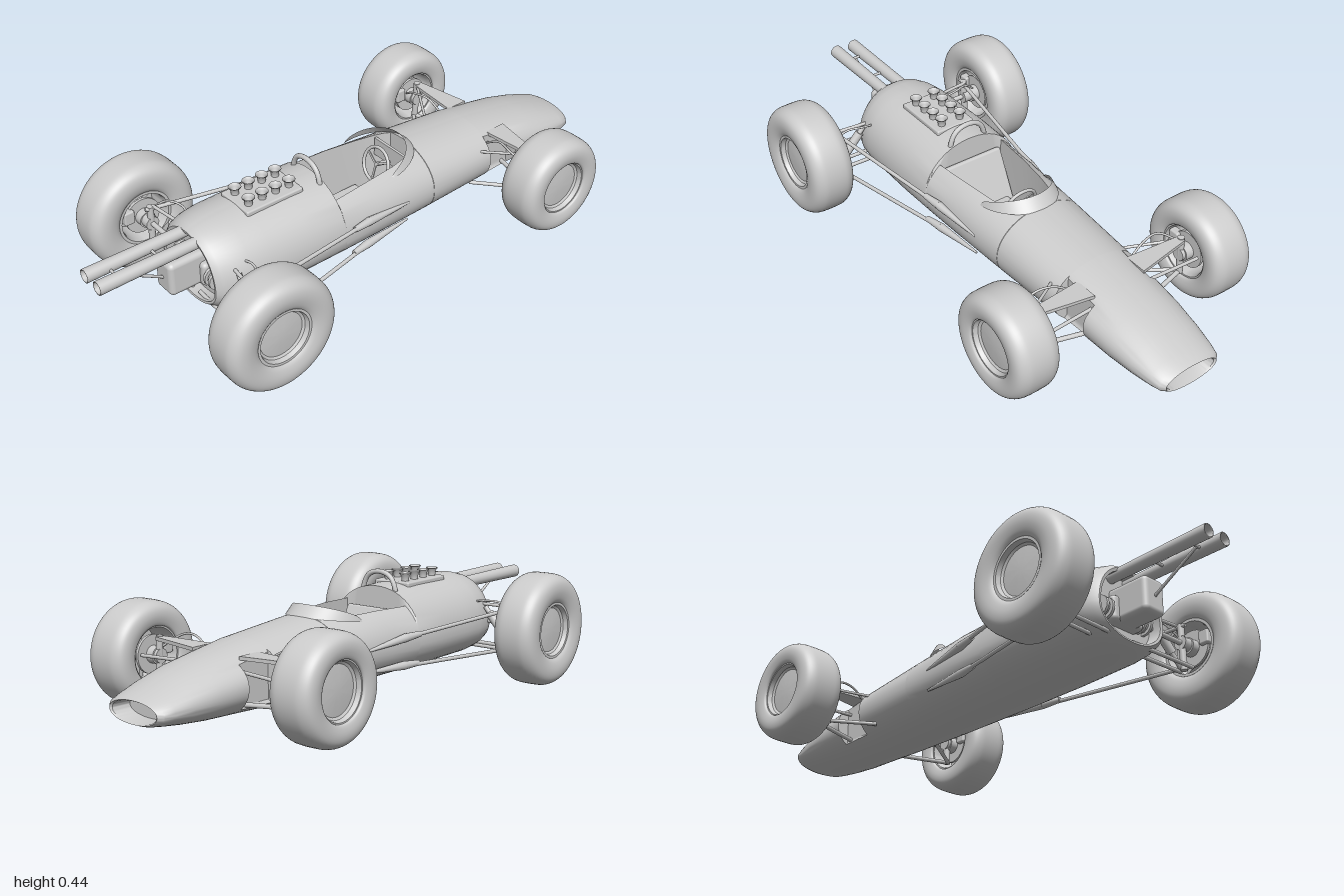
import * as THREE from 'three';
import { toCreasedNormals } from 'three/addons/utils/BufferGeometryUtils.js';
import { RoundedBoxGeometry } from 'three/addons/geometries/RoundedBoxGeometry.js';

const grey = new THREE.MeshStandardMaterial({ color: 0xcccccc });
const thin = new THREE.MeshStandardMaterial({ color: 0xcccccc, side: THREE.DoubleSide });
const V = (x, y, z) => new THREE.Vector3(x, y, z);

// Body lines along the car: [z, half width, bottom, top], joined linearly
const bodyLines = [
  [-1, 0.102, 0.124, 0.196], [-0.985, 0.118, 0.118, 0.204], [-0.95, 0.128, 0.112, 0.217],
  [-0.88, 0.14, 0.102, 0.242], [-0.78, 0.151, 0.092, 0.27], [-0.54, 0.165, 0.08, 0.31],
  [-0.25, 0.18, 0.076, 0.336], [0, 0.19, 0.075, 0.358], [0.15, 0.194, 0.075, 0.362],
  [0.155, 0.194, 0.075, 0.38], [0.3, 0.196, 0.075, 0.385], [0.53, 0.191, 0.077, 0.383],
  [0.59, 0.182, 0.082, 0.378], [0.63, 0.167, 0.09, 0.368], [0.65, 0.148, 0.1, 0.355],
];
const bodyAt = z => {
  const i = Math.max(1, bodyLines.findIndex(l => l[0] >= z));
  const a = bodyLines[i - 1], b = bodyLines[i];
  const k = (z - a[0]) / (b[0] - a[0]);
  return [1, 2, 3].map(n => a[n] + (b[n] - a[n]) * k);
};

// Shell skinned over superellipse rings; the rings dip into the cockpit and narrow at the arm pockets
function bodyGeometry() {
  const M = 44, K = 16, N = M + 1 + K, e = 2 / 2.1;
  const pos = [], idx = [];
  const ring = (z, from = z, scale = 1) => {
    const [w, bot, top] = bodyAt(from);
    const mid = Math.min(0.2, 0.16 + (from + 1) * 0.1);
    const cockpit = z >= -0.25 && z <= 0.15;
    const pocket = z >= -0.67 && z <= -0.54;
    const h = cockpit ? 0.13 * ((z + 0.26) / 0.41) ** 0.22 : w * 0.55;
    const rim = Math.acos((h / w) ** (1 / e));
    const at = t => {
      const c = Math.cos(t), s = Math.sin(t);
      return [scale * Math.sign(c) * w * Math.abs(c) ** e,
        mid + scale * Math.sign(s) * (s > 0 ? top - mid : mid - bot) * Math.abs(s) ** e];
    };
    for (let j = 0; j <= M; j++) {
      let [x, y] = at(rim - (Math.PI + 2 * rim) * j / M);
      if (pocket && y > 0.12) x = THREE.MathUtils.clamp(x, -0.113, 0.113);
      pos.push(x, y, z);
    }
    for (let j = 1; j <= K; j++) {
      const u = j / (K + 1);
      if (cockpit) pos.push((u * 2 - 1) * h * 1.08, 0.12, z);
      else pos.push(...at(Math.PI - rim - (Math.PI - 2 * rim) * u), z);
    }
  };
  // Recessed nose intake, outer skin, recessed tail
  ring(-0.93, -1, 0.01);
  ring(-0.93, -1, 0.88);
  ring(-0.995, -1, 0.93);
  for (const z of [-1, -0.985, -0.95, -0.88, -0.78, -0.672, -0.67, -0.54, -0.538, -0.4, -0.252, -0.25,
    -0.235, -0.2, -0.12, 0, 0.15, 0.155, 0.3, 0.45, 0.53, 0.59, 0.63, 0.65]) ring(z);
  ring(0.648, 0.65, 0.93);
  ring(0.6, 0.65, 0.93);
  ring(0.6, 0.65, 0.01);
  for (let i = 0; i < pos.length / 3 / N - 1; i++) for (let j = 0; j < N; j++) {
    const a = i * N + j, b = i * N + (j + 1) % N;
    idx.push(a, a + N, b, b, a + N, b + N);
  }
  const geo = new THREE.BufferGeometry();
  geo.setAttribute('position', new THREE.Float32BufferAttribute(pos, 3));
  geo.setIndex(idx);
  return toCreasedNormals(geo, 0.6);
}

// Raked ribbon around the front of the cockpit
function screenGeometry() {
  const pos = [], idx = [], S = 32;
  for (let i = 0; i <= S; i++) {
    const a = (i / S - 0.5) * Math.PI, c = Math.max(0, Math.cos(a)), s = Math.sin(a);
    pos.push(0.138 * s, 0.306 + 0.026 * c, -0.1 - 0.17 * c);
    pos.push(0.13 * s, 0.312 + 0.058 * c ** 0.7, -0.095 - 0.135 * c);
    if (i < S) idx.push(2 * i, 2 * i + 1, 2 * i + 2, 2 * i + 2, 2 * i + 1, 2 * i + 3);
  }
  const geo = new THREE.BufferGeometry();
  geo.setAttribute('position', new THREE.Float32BufferAttribute(pos, 3));
  geo.setIndex(idx);
  geo.computeVertexNormals();
  return geo;
}

export function createModel() {
  const car = new THREE.Group();
  car.name = 'racingCar';

  const add = (name, geo, x = 0, y = 0, z = 0, parent = car, mat = grey) => {
    const m = new THREE.Mesh(geo, mat);
    m.name = name;
    m.position.set(x, y, z);
    parent.add(m);
    return m;
  };
  const rod = (name, a, b, r, r2 = r) => {
    const d = b.clone().sub(a);
    const m = add(name, new THREE.CylinderGeometry(r2, r, d.length(), 14));
    m.position.copy(a).addScaledVector(d, 0.5);
    m.quaternion.setFromUnitVectors(V(0, 1, 0), d.normalize());
  };
  const tube = (name, pts, r) =>
    add(name, new THREE.TubeGeometry(new THREE.CatmullRomCurve3(pts), 40, r, 10));
  const lathe = (pts, n) => new THREE.LatheGeometry(pts.map(p => new THREE.Vector2(...p)), n);

  add('bodyShell', bodyGeometry(), 0, 0, 0, car, thin);
  add('windscreen', screenGeometry(), 0, 0, 0, car, thin);

  // Cockpit
  const back = add('seatBack', new RoundedBoxGeometry(0.23, 0.2, 0.025, 3, 0.01), 0, 0.215, 0.1);
  back.rotation.x = 0.45;
  add('seatBase', new RoundedBoxGeometry(0.19, 0.03, 0.2, 3, 0.01), 0, 0.135, -0.02);
  add('dashboard', new THREE.BoxGeometry(0.16, 0.07, 0.01), 0, 0.285, -0.2);
  const steering = add('steeringWheel', new THREE.TorusGeometry(0.062, 0.006, 10, 32), 0, 0.275, -0.135);
  steering.rotation.x = -0.3;
  for (let i = 0; i < 3; i++) {
    const spoke = add('steeringSpoke', new THREE.BoxGeometry(0.008, 0.062, 0.004).translate(0, 0.031, 0), 0, 0, 0, steering);
    spoke.rotation.z = Math.PI / 3 + i * Math.PI * 2 / 3;
  }
  rod('steeringColumn', V(0, 0.275, -0.135), V(0, 0.25, -0.24), 0.008);
  tube('rollHoop', [V(-0.072, 0.31, 0.17), V(-0.068, 0.38, 0.17), V(-0.045, 0.417, 0.17), V(0, 0.43, 0.17),
    V(0.045, 0.417, 0.17), V(0.068, 0.38, 0.17), V(0.072, 0.31, 0.17)], 0.009);

  // Engine deck with eight intake trumpets
  add('intakePlate', new RoundedBoxGeometry(0.15, 0.03, 0.225, 2, 0.006), 0, 0.372, 0.353);
  const trumpet = lathe([[0.011, -0.04], [0.013, 0.01], [0.015, 0.025], [0.022, 0.034], [0.021, 0.036],
    [0.013, 0.026], [0.01, 0], [0, 0]], 24);
  for (const x of [-0.038, 0.038]) for (let i = 0; i < 4; i++)
    add('intakeTrumpet', trumpet, x, 0.38, 0.272 + i * 0.054);

  // Gearbox and exhausts
  add('gearbox', new RoundedBoxGeometry(0.092, 0.125, 0.17, 4, 0.018), 0, 0.228, 0.665);
  add('differential', new RoundedBoxGeometry(0.14, 0.09, 0.06, 3, 0.015), 0, 0.21, 0.61);
  rod('exhaustStay', V(0, 0.22, 0.74), V(0, 0.325, 0.92), 0.005);
  for (const z of [0.77, 0.92]) rod('exhaustBridge', V(-0.04, 0.33, z), V(0.04, 0.33, z), 0.005);
  const pipe = lathe([[0.019, 0], [0.022, 0.3], [0.024, 0.5], [0.02, 0.5], [0.017, 0.3], [0, 0.3]], 28).rotateX(Math.PI / 2);

  // Wheels: lathed tyre and dished rim, turned about x
  const makeWheel = (name, R, s, y, z) => {
    const wheel = new THREE.Group();
    wheel.name = name;
    wheel.position.set(s * 0.392, y, z);
    if (s < 0) wheel.rotation.y = Math.PI;
    car.add(wheel);
    const half = [[0.098, 0.062], [R * 0.56, 0.074], [R * 0.7, 0.081], [R * 0.83, 0.079],
      [R * 0.92, 0.069], [R * 0.98, 0.05], [R, 0.026]];
    const curve = new THREE.SplineCurve([...half.map(([r, x]) => new THREE.Vector2(r, -x)),
      ...half.reverse().map(([r, x]) => new THREE.Vector2(r, x))]);
    add('tyre', new THREE.LatheGeometry(curve.getPoints(44), 64).rotateZ(-Math.PI / 2), 0, 0, 0, wheel);
    const rim = lathe([[0, 0.03], [0.084, 0.028], [0.088, -0.05], [0.092, -0.066], [0.102, -0.066], [0.102, 0.066],
      [0.093, 0.066], [0.088, 0.05], [0.08, 0.045], [0.03, 0.05], [0, 0.05]], 56).rotateZ(-Math.PI / 2);
    add('wheelRim', toCreasedNormals(rim, 0.6), 0, 0, 0, wheel);
    const disc = (n, r, len, x) =>
      add(n, new THREE.CylinderGeometry(r, r, len, 32).rotateZ(Math.PI / 2), x, 0, 0, wheel);
    disc('wheelHub', 0.03, 0.11, -0.025);
    disc('brakeDisc', 0.066, 0.01, -0.045);
    for (let i = 0; i < 6; i++) {
      const spoke = add('wheelSpoke', new THREE.BoxGeometry(0.02, 0.085, 0.014).translate(0, 0.042, 0), 0.02, 0, 0, wheel);
      spoke.rotation.x = i * Math.PI / 3;
    }
    add('brakeCaliper', new RoundedBoxGeometry(0.03, 0.05, 0.04, 2, 0.006), -0.05, 0.02, s * 0.058, wheel);
  };

  for (const s of [1, -1]) {
    const P = (x, y, z) => V(s * x, y, z);
    const side = s > 0 ? 'left' : 'right';
    makeWheel(side + 'RearWheel', 0.2035, s, 0.2055, 0.61);
    makeWheel(side + 'FrontWheel', 0.178, s, 0.217, -0.6);
    add(side + 'ExhaustPipe', pipe, s * 0.038, 0.333, 0.5);

    // Rear suspension
    rod('driveShaft', P(0.07, 0.207, 0.61), P(0.35, 0.207, 0.61), 0.009);
    for (const [x, r] of [[0.076, 0.036], [0.09, 0.028], [0.102, 0.036]])
      rod('shaftCoupling', P(x - 0.005, 0.207, 0.61), P(x + 0.005, 0.207, 0.61), r);
    rod('rearUpright', P(0.293, 0.11, 0.61), P(0.288, 0.275, 0.61), 0.012);
    rod('rearStubAxle', P(0.28, 0.207, 0.61), P(0.35, 0.207, 0.61), 0.025);
    rod('rearUpperLink', P(0.08, 0.275, 0.575), P(0.29, 0.272, 0.6), 0.006);
    for (const z of [0.58, 0.63]) rod('rearLowerLink', P(0.02, 0.115, z), P(0.3, 0.113, z + 0.01), 0.007);
    rod('rearDamper', P(0.29, 0.12, 0.6), P(0.18, 0.265, 0.58), 0.009);
    rod('rearSpring', P(0.255, 0.166, 0.594), P(0.195, 0.245, 0.583), 0.016);
    tube('rearBrakeHose', [P(0.13, 0.28, 0.55), P(0.2, 0.295, 0.54), P(0.26, 0.29, 0.56), P(0.31, 0.25, 0.58)], 0.004);

    // Radius rods with their fairings on the body side
    rod('upperRadiusRod', P(0.19, 0.232, 0), P(0.288, 0.268, 0.63), 0.007);
    rod('lowerRadiusRod', P(0.186, 0.136, 0.02), P(0.296, 0.12, 0.62), 0.007);
    for (const [y, x, dy] of [[0.23, 0.19, 0.014], [0.138, 0.184, -0.004]]) {
      const tip = P(x + 0.008, y + dy * 0.3, 0.06);
      rod('rodFairing', P(x - 0.008, y - dy, -0.13), tip, 0.004, 0.015);
      rod('rodFairing', tip, P(x + 0.018, y + dy * 0.6, 0.13), 0.015, 0.01);
    }

    // Front suspension
    const armShape = new THREE.Shape([[0.1, -0.57], [0.1, -0.655], [0.31, -0.617], [0.31, -0.588]]
      .map(([x, z]) => new THREE.Vector2(s * x, z)));
    add('frontUpperArm', new THREE.ExtrudeGeometry(armShape, { depth: 0.012, bevelEnabled: false }).rotateX(Math.PI / 2), 0, 0.282, 0);
    rod('frontSteeringRod', P(0.1, 0.235, -0.655), P(0.33, 0.225, -0.66), 0.006);
    rod('frontLowerArm', P(0.1, 0.13, -0.65), P(0.315, 0.14, -0.6), 0.008);
    rod('frontLowerArm', P(0.14, 0.13, -0.46), P(0.315, 0.14, -0.595), 0.007);
    rod('frontUpperStay', P(0.15, 0.25, -0.5), P(0.3, 0.275, -0.595), 0.005);
    rod('frontUpright', P(0.315, 0.135, -0.6), P(0.308, 0.285, -0.6), 0.012);
    rod('frontStubAxle', P(0.3, 0.217, -0.6), P(0.36, 0.217, -0.6), 0.025);
    tube('frontBrakeHose', [P(0.12, 0.25, -0.56), P(0.19, 0.29, -0.55), P(0.26, 0.285, -0.54), P(0.33, 0.24, -0.57)], 0.004);
  }
  return car;
}
